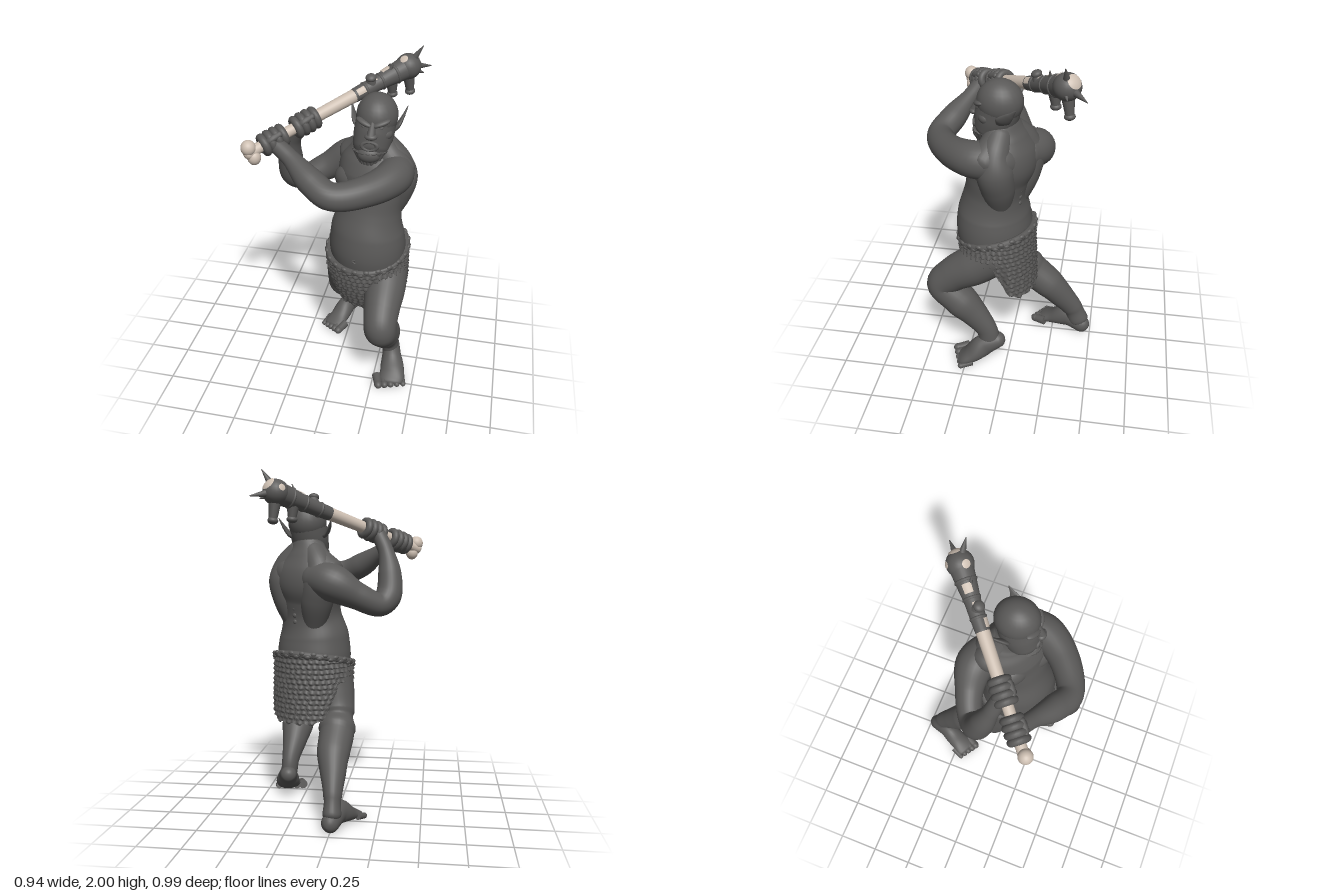
import * as THREE from 'three';

const V = (x, y, z) => new THREE.Vector3(x, y, z);
const Y = V(0, 1, 0);

// Smooth closed loft through stations [x, y, z, radius, sideStretch]; ref sets the direction of "radius"
function loft(stations, ref = Y, cap = 0.7, steps = 8, sides = 28) {
  const path = new THREE.CatmullRomCurve3(stations.map(s => V(s[0], s[1], s[2])));
  const size = new THREE.CatmullRomCurve3(stations.map(s => V(s[3], s[4] ?? 1, 0)));
  const n = (stations.length - 1) * steps, rings = [];
  for (let i = 0; i <= n; i++) {
    const t = i / n, s = size.getPoint(t);
    rings.push({ c: path.getPoint(t), d: path.getTangent(t), r: s.x, w: s.y });
  }
  const endCap = (ring, sign) => [0.3, 0.6, 0.85, 0.97, 1].map(k => ({
    c: ring.c.clone().addScaledVector(ring.d, sign * ring.r * cap * k),
    d: ring.d, r: ring.r * Math.sqrt(Math.max(1 - k * k, 1e-5)), w: ring.w,
  }));
  const all = [...endCap(rings[0], -1).reverse(), ...rings, ...endCap(rings[n], 1)];
  const pos = [], idx = [];
  all.forEach(({ c, d, r, w }, i) => {
    const side = d.clone().cross(ref).normalize(), up = side.clone().cross(d);
    for (let j = 0; j < sides; j++) {
      const a = j / sides * Math.PI * 2;
      const p = c.clone().addScaledVector(side, Math.cos(a) * r * w).addScaledVector(up, -Math.sin(a) * r);
      pos.push(p.x, p.y, p.z);
      if (i < all.length - 1) {
        const k = (j + 1) % sides, A = i * sides, B = A + sides;
        idx.push(A + j, A + k, B + j, A + k, B + k, B + j);
      }
    }
  });
  const g = new THREE.BufferGeometry();
  g.setAttribute('position', new THREE.Float32BufferAttribute(pos, 3));
  g.setIndex(idx);
  g.computeVertexNormals();
  return g;
}

export function createModel() {
  const model = new THREE.Group();
  const mat = (name, color) => Object.assign(new THREE.MeshStandardMaterial({ color }), { name });
  const skin = mat('grey skin', 0x5a5958), hide = mat('scaly hide', 0x595857), bone = mat('pale bone', 0xcdbfb2);
  hide.side = THREE.DoubleSide;

  const group = name => { const g = new THREE.Group(); g.name = name; model.add(g); return g; };
  const add = (parent, name, geo, m = skin) => {
    const mesh = new THREE.Mesh(geo, m); mesh.name = name; parent.add(mesh); return mesh;
  };
  const ball = new THREE.SphereGeometry(1, 24, 16);
  const blob = (parent, name, p, s, m = skin, yaw = 0) => {
    const b = add(parent, name, ball, m);
    b.position.set(...p); b.scale.set(...s); b.rotation.y = yaw; return b;
  };
  const spike = (parent, name, from, to, r0, r1 = 0.002, m = skin) => {
    const a = V(...from), d = V(...to).sub(a);
    const s = add(parent, name, new THREE.CylinderGeometry(r1, r0, d.length(), 14), m);
    s.position.copy(a).addScaledVector(d, 0.5);
    s.quaternion.setFromUnitVectors(Y, d.normalize()); return s;
  };

  // Twisted torso with a heavy belly
  const body = group('body'), twist = -0.55, facing = V(Math.sin(twist), 0, Math.cos(twist));
  add(body, 'torso', loft([
    [0.17, 0.74, 0.05, 0.13, 1.3], [0.17, 0.85, 0.08, 0.205, 1.1], [0.17, 0.95, 0.09, 0.212, 1.08],
    [0.17, 1.05, 0.09, 0.2, 1.08], [0.18, 1.16, 0.08, 0.174, 1.06], [0.188, 1.28, 0.058, 0.168, 1.13],
    [0.19, 1.38, 0.03, 0.172, 1.28], [0.19, 1.46, 0.02, 0.15, 1.36], [0.19, 1.53, 0.02, 0.11, 1.3],
    [0.19, 1.6, 0.035, 0.09, 1.05], [0.19, 1.67, 0.045, 0.085, 1]], facing, 0.5, 8, 40));
  const onBody = (side, out, y) => [0.185 + facing.x * out + facing.z * side, y, 0.045 + facing.z * out - facing.x * side];
  for (const s of [-1, 1]) {
    blob(body, 'chestMuscle', onBody(s * 0.08, 0.1, 1.34), [0.105, 0.08, 0.065], skin, twist);
    add(body, 'backMuscle', loft([[...onBody(s * 0.07, -0.045, 1.12), 0.07], [...onBody(s * 0.105, -0.065, 1.26), 0.098],
      [...onBody(s * 0.13, -0.07, 1.37), 0.105], [...onBody(s * 0.12, -0.06, 1.46), 0.085], [...onBody(s * 0.05, -0.035, 1.55), 0.072]], facing));
    add(body, 'neckMuscle', loft([[...onBody(s * 0.02, -0.02, 1.58), 0.075], [...onBody(s * 0.09, -0.03, 1.5), 0.08],
      [...onBody(s * 0.17, -0.025, 1.43), 0.09]], facing));
  }
  for (let i = 0; i < 9; i++) blob(body, 'spineBump', onBody(0, -0.144 + Math.abs(i - 5) * 0.003, 1.14 + i * 0.04), [0.018, 0.018, 0.014]);
  const navel = add(body, 'navel', new THREE.TorusGeometry(0.014, 0.005, 8, 18));
  navel.position.set(0.14, 0.925, 0.297); navel.scale.set(1.3, 0.7, 1);

  // Head with a jutting bearded jaw
  const head = group('head');
  add(head, 'jaw', loft([
    [0.177, 1.51, 0.12, 0.06, 1.2], [0.18, 1.56, 0.098, 0.1, 1], [0.19, 1.64, 0.066, 0.12, 0.92],
    [0.2, 1.72, 0.045, 0.12, 0.9]], V(0, 0, 1), 0.45));
  blob(head, 'skull', [0.2, 1.722, 0.045], [0.113, 0.123, 0.126]);
  spike(head, 'noseBridge', [0.192, 1.66, 0.185], [0.197, 1.73, 0.155], 0.024, 0.014);
  blob(head, 'noseTip', [0.192, 1.657, 0.186], [0.034, 0.018, 0.026]);
  const lips = add(head, 'openMouth', new THREE.TorusGeometry(0.032, 0.01, 10, 24));
  lips.position.set(0.185, 1.6, 0.181); lips.scale.set(1.25, 0.75, 1);
  blob(head, 'chin', [0.178, 1.54, 0.155], [0.065, 0.048, 0.045]);
  for (const s of [-1, 1]) {
    const x = 0.195;
    blob(head, 'brow', [x + s * 0.045, 1.722, 0.15], [0.052, 0.016, 0.026], skin, s * 0.4).rotation.z = s * 0.3;
    blob(head, 'eye', [x + s * 0.042, 1.698, 0.15], [0.018, 0.011, 0.014]);
    blob(head, 'cheek', [x + s * 0.055, 1.65, 0.122], [0.05, 0.036, 0.034], skin, s * 0.5);
    add(head, 'pointedEar', loft([
      [x + s * 0.095, 1.635, 0.035, 0.022, 0.45], [x + s * 0.118, 1.665, 0.01, 0.04, 0.32],
      [x + s * 0.138, 1.702, -0.025, 0.024, 0.35], [x + s * 0.155, 1.743, -0.06, 0.003, 0.6]], V(0, 0, 1), 0.5, 6, 16));
  }
  for (let i = 0; i < 9; i++) {
    const a = (i - 4) * 0.32, sx = Math.sin(a), cz = Math.cos(a);
    spike(head, 'beardLock', [0.178 + sx * 0.078, 1.56, 0.098 + cz * 0.076], [0.178 + sx * 0.055, 1.482, 0.11 + cz * 0.06], 0.026, 0.008);
  }

  // Arms reaching across to the club
  add(group('leftArm'), 'arm', loft([
    [0.24, 1.41, -0.01, 0.09], [0.298, 1.42, 0.05, 0.108], [0.32, 1.43, 0.17, 0.102], [0.21, 1.415, 0.325, 0.086], [0.03, 1.41, 0.422, 0.076],
    [-0.09, 1.46, 0.375, 0.075], [-0.22, 1.545, 0.295, 0.048], [-0.32, 1.6, 0.245, 0.045]]));
  add(group('rightArm'), 'arm', loft([
    [0.14, 1.4, -0.07, 0.1], [0.03, 1.375, -0.125, 0.11], [-0.11, 1.302, -0.11, 0.08], [-0.24, 1.247, -0.052, 0.07],
    [-0.287, 1.295, 0.0, 0.077], [-0.29, 1.43, 0.045, 0.068], [-0.265, 1.55, 0.08, 0.047], [-0.22, 1.65, 0.11, 0.044]],
  V(-0.43, 0.26, -0.87)));

  // Bone club
  const club = group('club'), butt = V(-0.44, 1.565, 0.335), tip = V(0.31, 1.875, -0.31);
  const axis = tip.clone().sub(butt).normalize();
  const at = t => butt.clone().lerp(tip, t).toArray();
  add(club, 'shaft', loft([[...at(0), 0.034], [...at(0.12), 0.029], [...at(0.4), 0.034], [...at(0.7), 0.038]]), bone);
  blob(club, 'buttKnob', [-0.436, 1.598, 0.333], [0.041, 0.043, 0.041], bone);
  blob(club, 'buttKnob', [-0.41, 1.54, 0.322], [0.037, 0.042, 0.037], bone);
  add(club, 'wrapping', loft([[...at(0.65), 0.039], [...at(0.72), 0.042], [...at(0.8), 0.044], [...at(0.89), 0.054], [...at(0.98), 0.064]], Y, 0.1));
  const ringAt = (name, t, R, r, parent) => {
    const g = add(parent, name, new THREE.TorusGeometry(R, r, 12, 28));
    g.position.set(...at(t)); g.quaternion.setFromUnitVectors(V(0, 0, 1), axis);
  };
  for (const [t, R] of [[0.72, 0.037], [0.82, 0.041], [0.91, 0.052]]) ringAt('strap', t, R, 0.009, club);
  blob(club, 'clubHead', tip.toArray(), [0.074, 0.072, 0.074]);
  // Bare bone showing through the wrapping
  for (const [d, spread] of [[[0.5, 0.65, -0.55], 0.55], [[-0.25, 0.7, 0.55], 0.3], [[-0.6, 0.3, -0.7], 0.25]]) {
    const c = add(club, 'barePatch', new THREE.SphereGeometry(0.077, 20, 8, 0, Math.PI * 2, 0, spread), bone);
    c.position.copy(tip); c.quaternion.setFromUnitVectors(Y, V(...d).normalize());
  }
  for (const [t, r0, r1, turn] of [[0.77, 0.045, 0.047, 0.2], [0.865, 0.052, 0.057, -0.2], [0.685, 0.042, 0.044, 0.9]]) {
    const chip = add(club, 'bareChip', new THREE.CylinderGeometry(r1, r0, 0.05, 12, 1, true, turn - 1.3, 0.9), bone);
    chip.position.set(...at(t)); chip.quaternion.setFromUnitVectors(Y, axis);
  }
  spike(club, 'topSpike', [0.325, 1.9, -0.31], [0.39, 2, -0.305], 0.026);
  spike(club, 'endSpike', [0.34, 1.87, -0.34], [0.43, 1.85, -0.42], 0.024);
  spike(club, 'sideSpike', [0.34, 1.865, -0.3], [0.4, 1.84, -0.32], 0.024);
  spike(club, 'upperSpike', at(0.86), [0.24, 1.925, -0.215], 0.022);
  for (const [a, b] of [[at(0.76), [0.13, 1.858, -0.135]], [at(0.89), [0.235, 1.73, -0.25]], [at(1), [0.325, 1.722, -0.33]]]) {
    spike(club, 'peg', a, b, 0.042, 0.022);
    const end = blob(club, 'pegHead', b, [0.03, 0.02, 0.03]);
    end.quaternion.setFromUnitVectors(Y, V(...b).sub(V(...a)).normalize());
  }

  // Fists closed around the shaft
  for (const [name, t] of [['leftHand', 0.15], ['rightHand', 0.345]]) {
    const hand = group(name);
    for (let i = 0; i < 4; i++) ringAt('finger', t + (i - 1.5) * 0.036, 0.043 + (i % 3 ? 0.003 : 0), 0.022, hand);
    const c = V(...at(t));
    const palm = blob(hand, 'palm', [c.x - 0.012, c.y - 0.018, c.z + 0.005], [0.053, 0.053, 0.075]);
    palm.quaternion.setFromUnitVectors(V(0, 0, 1), axis);
    add(hand, 'thumb', loft([
      [c.x - 0.04, c.y - 0.02, c.z + 0.035, 0.022], [c.x, c.y + 0.02, c.z + 0.05, 0.021],
      [c.x + 0.045, c.y + 0.045, c.z + 0.015, 0.017]], V(0, 0, 1), 0.8, 6, 14));
  }

  // Legs in a long stride, with feet and toes
  const leg = (name, bones, foot, toeA, toeB, dir) => {
    const g = group(name);
    add(g, 'leg', loft(bones, V(1, 0, 0)));
    add(g, 'foot', loft(foot, Y, 0.9));
    for (let i = 0; i < 5; i++) {
      const p = V(...toeA).lerp(V(...toeB), i / 4), r = 0.025 - i * 0.002;
      p.y = r;
      spike(g, 'toeJoint', [p.x - dir[0] * 0.07, 0.035, p.z - dir[1] * 0.07], p.toArray(), r * 1.15, r * 0.95);
      blob(g, 'toe', p.toArray(), [r, r, r * 1.25], skin, Math.atan2(dir[0], dir[1]));
    }
  };
  leg('leftLeg', [
    [0.29, 0.8, 0.06, 0.125], [0.3, 0.71, 0.19, 0.122], [0.302, 0.63, 0.315, 0.106], [0.307, 0.55, 0.39, 0.095],
    [0.312, 0.45, 0.295, 0.1, 1], [0.32, 0.34, 0.195, 0.076, 1.1], [0.332, 0.24, 0.122, 0.053, 1.25], [0.337, 0.17, 0.105, 0.05, 1.3]],
  [[0.333, 0.165, 0.053, 0.05], [0.35, 0.13, 0.13, 0.068, 0.85], [0.37, 0.06, 0.22, 0.047, 1.6], [0.372, 0.03, 0.275, 0.026, 2.7]],
  [0.297, 0.02, 0.315], [0.447, 0.02, 0.268], [0.3, 0.95]);
  leg('rightLeg', [
    [0.06, 0.83, 0.06, 0.13], [0.035, 0.7, 0.03, 0.12], [0.012, 0.585, -0.02, 0.104], [0.005, 0.49, -0.105, 0.104],
    [0.01, 0.39, -0.222, 0.096], [0.0, 0.29, -0.305, 0.073, 1.1], [-0.008, 0.19, -0.38, 0.053, 1.25], [-0.01, 0.1, -0.42, 0.053, 1.25]],
  [[-0.003, 0.06, -0.445, 0.056, 0.9], [-0.035, 0.09, -0.35, 0.068, 0.8], [-0.075, 0.05, -0.25, 0.045, 1.4], [-0.1, 0.028, -0.185, 0.025, 2.7]],
  [-0.055, 0.02, -0.135], [-0.168, 0.02, -0.2], [-0.42, 0.91]);

  // Scaly loincloth: an angled band with a front and a back flap
  const cloth = group('loincloth'), yaw = -0.35;
  const bump = (d, w) => Math.exp(-Math.pow(Math.abs(Math.atan2(Math.sin(d), Math.cos(d))) / w, 6));
  const topY = a => 0.9 - 0.055 * Math.cos(a - yaw);
  const ring = (a, k, y) => V(0.17 + Math.sin(a) * 0.235 * k, y, 0.078 + Math.cos(a) * 0.22 * k);
  const U = 260, W = 64;
  const skirt = new THREE.PlaneGeometry(1, 1, U, W), sp = skirt.attributes.position;
  for (let i = 0; i < sp.count; i++) {
    const a = -(i % (U + 1)) / U * Math.PI * 2 + Math.PI, v = Math.floor(i / (U + 1)) / W;
    const front = bump(a - yaw, 0.64), back = bump(a - yaw - Math.PI, 1.0);
    const low = 0.785 - 0.258 * front - 0.245 * back + 0.008 * Math.sin(a * 21);
    const y = topY(a) + (low - topY(a)) * v;
    const row = Math.floor(y / 0.03), fy = y / 0.03 - row;
    const col = a / (Math.PI * 2) * 42 + (row % 2) * 0.5 + 0.2 * Math.sin(row * 2.3), fx = col - Math.floor(col);
    const scale = 0.065 * (1 - fy) * (1 - (2 * fx - 1) ** 2);
    const p = ring(a, 1 + 0.06 * back * v + scale, y), inward = 0.1 * front * v * v;
    sp.setXYZ(i, p.x - Math.sin(yaw) * inward, p.y, p.z - Math.cos(yaw) * inward);
  }
  // Angle runs backwards along u, so flip the winding to face outward
  const si = skirt.index.array;
  for (let i = 0; i < si.length; i += 3) [si[i], si[i + 1]] = [si[i + 1], si[i]];
  skirt.computeVertexNormals();
  add(cloth, 'scaledSkirt', skirt, hide);
  const beltPath = Array.from({ length: 24 }, (_, i) => { const a = i / 24 * Math.PI * 2; return ring(a, 0.98, topY(a)); });
  add(cloth, 'beltRoll', new THREE.TubeGeometry(new THREE.CatmullRomCurve3(beltPath, true), 96, 0.02, 10, true), hide);
  for (let i = 0; i < 44; i++) {
    const a = i / 44 * Math.PI * 2;
    blob(cloth, 'beltScale', ring(a, 1.03, topY(a) + (i % 2 ? 0.009 : -0.009)).toArray(), [0.019, 0.013, 0.012], hide, a);
  }
  return model;
}
